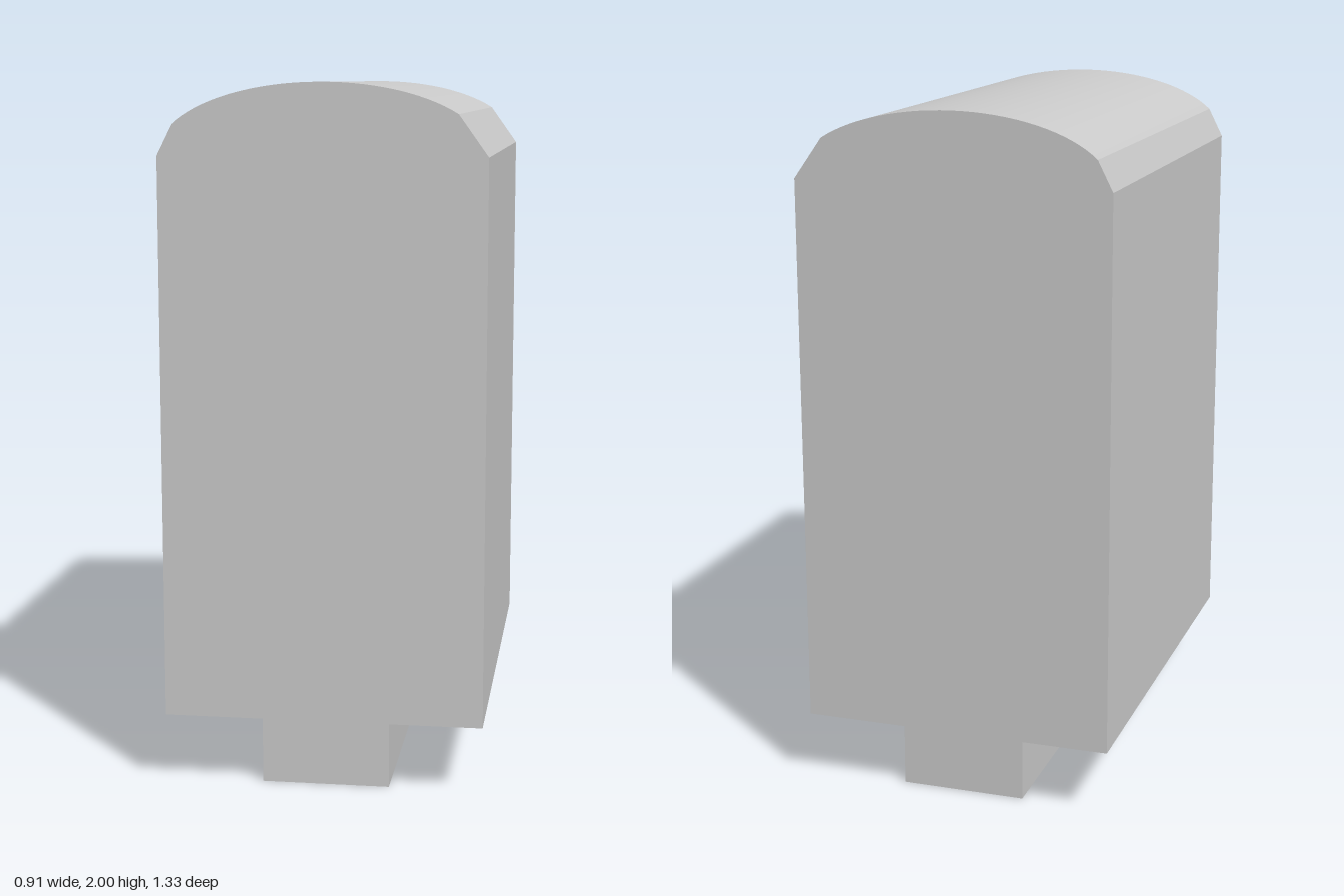
import * as THREE from 'three';
import { toCreasedNormals } from 'three/addons/utils/BufferGeometryUtils.js';

const HALF_W = 0.455, HALF_D = 0.665, BOTTOM = 0.21, SHOULDER = 1.8, CROWN = 0.2;

// Straight-sided block with an elliptical crown, cut off unevenly at the shoulders
function bodyGeometry() {
  const points = [
    new THREE.Vector2(-HALF_W, BOTTOM),
    new THREE.Vector2(HALF_W, BOTTOM),
    new THREE.Vector2(HALF_W, SHOULDER),
  ];
  const start = Math.acos(0.373 / HALF_W);
  const end = Math.PI - Math.acos(0.412 / HALF_W);
  const steps = 30;
  for (let i = 0; i <= steps; i++) {
    const a = start + (end - start) * i / steps;
    points.push(new THREE.Vector2(HALF_W * Math.cos(a), SHOULDER + CROWN * Math.sin(a)));
  }
  points.push(new THREE.Vector2(-HALF_W, SHOULDER));

  const extruded = new THREE.ExtrudeGeometry(new THREE.Shape(points), {
    depth: 2 * HALF_D, bevelEnabled: false,
  });
  extruded.translate(0, 0, -HALF_D);
  const geometry = toCreasedNormals(extruded, 0.2);

  // The side wall stops slightly short of the back at its top corner, leaving a thin slit
  const { position, normal } = geometry.attributes;
  for (let i = 0; i < position.count; i++) {
    if (normal.getX(i) > 0.99 && position.getY(i) > 1.7 && position.getZ(i) < 0) {
      position.setZ(i, -0.643);
    }
  }
  return geometry;
}

export function createModel() {
  const group = new THREE.Group();
  const material = new THREE.MeshStandardMaterial({ color: 0xcccccc, side: THREE.DoubleSide });

  const body = new THREE.Mesh(bodyGeometry(), material);
  body.name = 'body';

  // Narrow plinth under the body
  const plinth = new THREE.Mesh(new THREE.BoxGeometry(0.366, BOTTOM, 1.2), material);
  plinth.name = 'plinth';
  plinth.position.y = BOTTOM / 2;

  group.add(body, plinth);
  return group;
}
